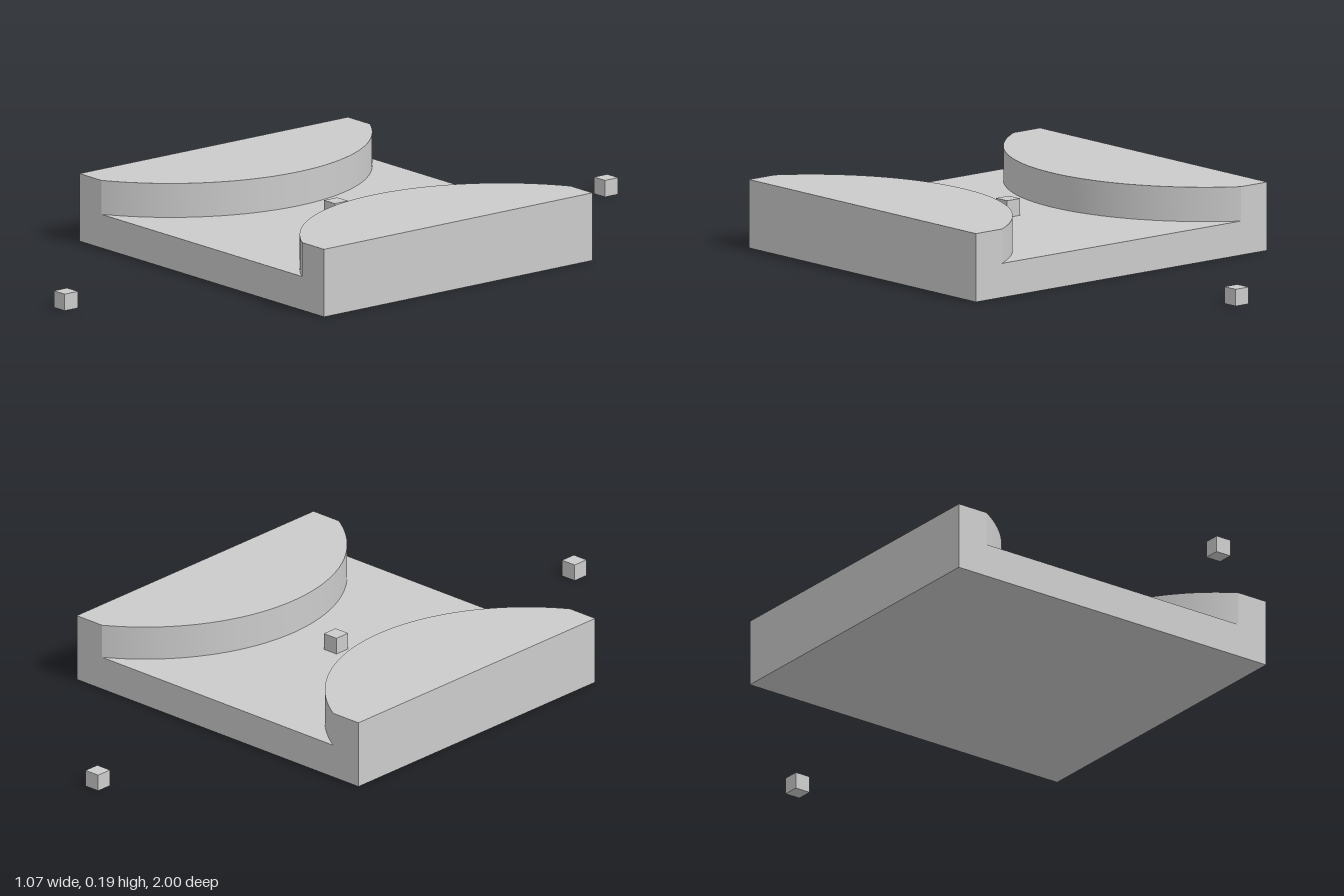
import * as THREE from 'three';
import { toCreasedNormals } from 'three/addons/utils/BufferGeometryUtils.js';

const W = 0.536;      // half width
const D = 0.485;      // half depth
const FLOOR = 0.097;  // channel floor height
const TOP = 0.195;    // top of the raised sides
const CUBE = 0.048;   // marker cube size
const TIP = 0.163;    // innermost x of the curved wall
const END = 0.44;     // x of the curved wall at the front and back

const material = new THREE.MeshStandardMaterial({ color: 0xcccccc });

function addMesh(parent, name, geometry, x = 0, y = 0, z = 0) {
  const mesh = new THREE.Mesh(geometry, material);
  mesh.name = name;
  mesh.position.set(x, y, z);
  parent.add(mesh);
  return mesh;
}

// Raised side: straight outer wall, inner wall bulging along a circular arc
function raisedSideGeometry() {
  const sagitta = END - TIP;
  const radius = (sagitta * sagitta + D * D) / (2 * sagitta);
  const half = Math.asin(D / radius);
  const shape = new THREE.Shape();
  shape.moveTo(W, -D);
  shape.lineTo(W, D);
  shape.lineTo(END, D);
  shape.absarc(TIP + radius, 0, radius, Math.PI - half, Math.PI + half, false);
  shape.closePath();
  const geometry = new THREE.ExtrudeGeometry(shape, {
    depth: TOP - FLOOR, bevelEnabled: false, curveSegments: 40,
  });
  geometry.rotateX(-Math.PI / 2);
  return toCreasedNormals(geometry, 0.4);
}

export function createModel() {
  const model = new THREE.Group();
  model.name = 'channelBlock';

  // Slab forming the channel floor
  addMesh(model, 'base', new THREE.BoxGeometry(2 * W, FLOOR, 2 * D), 0, FLOOR / 2, 0);

  // Two mirrored raised sides
  const side = raisedSideGeometry();
  addMesh(model, 'leftSide', side, 0, FLOOR, 0);
  addMesh(model, 'rightSide', side, 0, FLOOR, 0).rotation.y = Math.PI;

  // Small marker cubes: one on the channel floor, one beyond each open end
  const cube = new THREE.BoxGeometry(CUBE, CUBE, CUBE);
  const reach = 1 - CUBE / 2;
  addMesh(model, 'centreCube', cube, 0, FLOOR + CUBE / 2, 0);
  addMesh(model, 'frontCube', cube, 0, CUBE / 2, reach);
  addMesh(model, 'backCube', cube, 0, CUBE / 2, -reach);

  return model;
}
